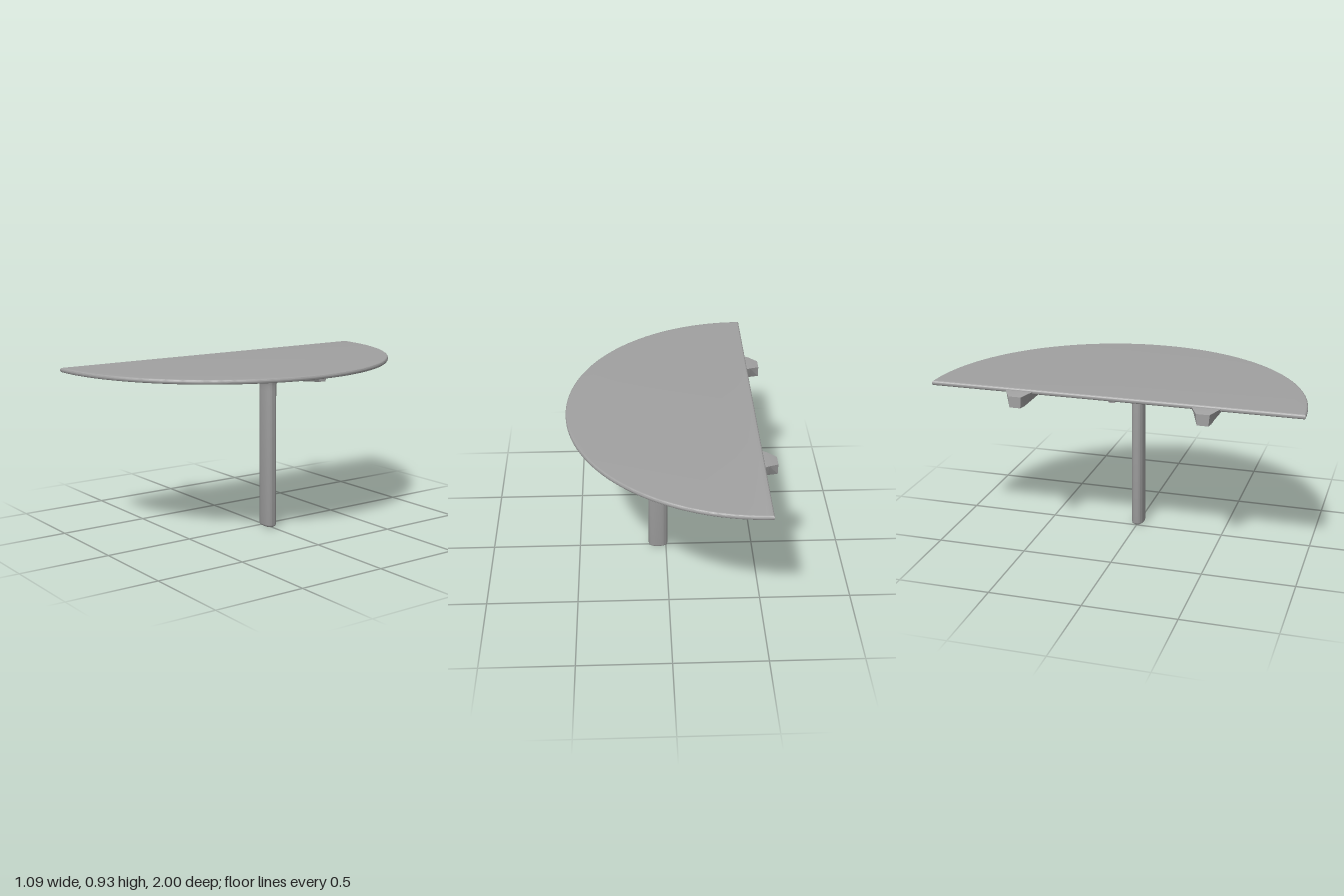
import * as THREE from 'three';
import { toCreasedNormals } from 'three/addons/utils/BufferGeometryUtils.js';

const TOP_Y = 0.912; // ribs end just inside the table top

// Trapezoid beam through sections [x, z, half width top, half width bottom, bottom y, top y]
function beam(sections) {
  const pos = [], index = [];
  const dirs = sections.slice(1).map((s, i) =>
    new THREE.Vector2(s[0] - sections[i][0], s[1] - sections[i][1]).normalize());
  sections.forEach(([x, z, top, bottom, y0, y1 = TOP_Y], i) => {
    const before = dirs[Math.max(i - 1, 0)], after = dirs[Math.min(i, dirs.length - 1)];
    const d = before.clone().add(after).normalize();
    const miter = 1 / d.dot(after);
    const nx = -d.y * miter, nz = d.x * miter;
    for (const [w, y] of [[top, y1], [-top, y1], [-bottom, y0], [bottom, y0]]) {
      pos.push(x + nx * w, y, z + nz * w);
    }
  });
  for (let i = 0; i < dirs.length; i++) {
    for (let k = 0; k < 4; k++) {
      const a = i * 4 + k, b = i * 4 + (k + 1) % 4;
      index.push(a, a + 4, b, b, a + 4, b + 4);
    }
  }
  const e = dirs.length * 4;
  index.push(0, 1, 2, 0, 2, 3, e, e + 2, e + 1, e, e + 3, e + 2);
  const g = new THREE.BufferGeometry();
  g.setAttribute('position', new THREE.Float32BufferAttribute(pos, 3));
  g.setIndex(index);
  return toCreasedNormals(g, 0.4);
}

export function createModel() {
  const model = new THREE.Group();
  model.name = 'halfRoundTable';
  const grey = new THREE.MeshStandardMaterial({ color: 0xa0a0a0 });
  grey.name = 'grey';
  const add = (name, geometry) => {
    const mesh = new THREE.Mesh(geometry, grey);
    mesh.name = name;
    model.add(mesh);
  };

  // Half-round top with a softened rim
  const outline = new THREE.Shape();
  outline.absellipse(-0.47, 0, 1.0, 0.99, -Math.PI / 2, Math.PI / 2, false);
  outline.closePath();
  const top = new THREE.ExtrudeGeometry(outline, {
    depth: 0.005, bevelSize: 0.01, bevelThickness: 0.01, bevelSegments: 4, curveSegments: 72,
  });
  top.rotateX(-Math.PI / 2).translate(0, 0.915, 0);
  add('tableTop', toCreasedNormals(top, 0.6));

  // Flattened oval leg, flaring out into the underside
  const profile = [
    [0, 0], [0.045, 0.003], [0.053, 0.009], [0.055, 0.016], [0.055, 0.78], [0.056, 0.81],
    [0.06, 0.835], [0.07, 0.857], [0.088, 0.878], [0.115, 0.897], [0.14, TOP_Y],
  ].map(([r, y]) => new THREE.Vector2(r, y));
  const leg = new THREE.LatheGeometry(profile, 40);
  const p = leg.attributes.position;
  const square = (v) => Math.sign(v) * Math.abs(v) ** 0.8;
  for (let i = 0; i < p.count; i++) {
    const r = Math.hypot(p.getX(i), p.getZ(i));
    if (r < 1e-6) continue;
    p.setX(i, square(p.getX(i) / r) * r);
    p.setZ(i, square(p.getZ(i) / r) * Math.max(r - 0.02, 0));
  }
  leg.translate(0.045, 0, 0);
  add('leg', toCreasedNormals(leg, 0.7));

  // Bent support arms with ends that stick out past the straight edge
  for (const [side, s] of [['left', 1], ['right', -1]]) {
    add(side + 'SupportArm', beam([
      [0.045, 0, 0.08, 0.035, 0.845],
      [0.04, 0.28, 0.08, 0.035, 0.845],
      [-0.13, 0.5 * s, 0.09, 0.035, 0.845],
      [-0.45, 0.5 * s, 0.09, 0.035, 0.845, 0.92],
      [-0.5, 0.5 * s, 0.065, 0.035, 0.845, 0.918],
      [-0.55, 0.5 * s, 0.035, 0.03, 0.848, 0.908],
    ].map((v, i) => (i === 1 ? [v[0], v[1] * s, ...v.slice(2)] : v))));

    // Tapered rib running outward from the bend
    add(side + 'OuterRib', beam([
      [-0.04, 0.4 * s, 0.06, 0.03, 0.855],
      [0.05, 0.52 * s, 0.045, 0.02, 0.88],
      [0.17, 0.68 * s, 0.02, 0.008, 0.902],
    ]));
  }

  // Ribs from the leg to the curved front and to the straight edge
  add('curvedSideRib', beam([
    [0.045, 0, 0.07, 0.03, 0.845],
    [0.13, 0, 0.06, 0.025, 0.85],
    [0.52, 0, 0.03, 0.02, 0.889],
  ]));
  add('straightSideRib', beam([
    [0.045, 0, 0.07, 0.03, 0.85],
    [-0.1, 0, 0.045, 0.02, 0.875],
    [-0.46, 0, 0.03, 0.015, 0.893],
  ]));
  return model;
}
